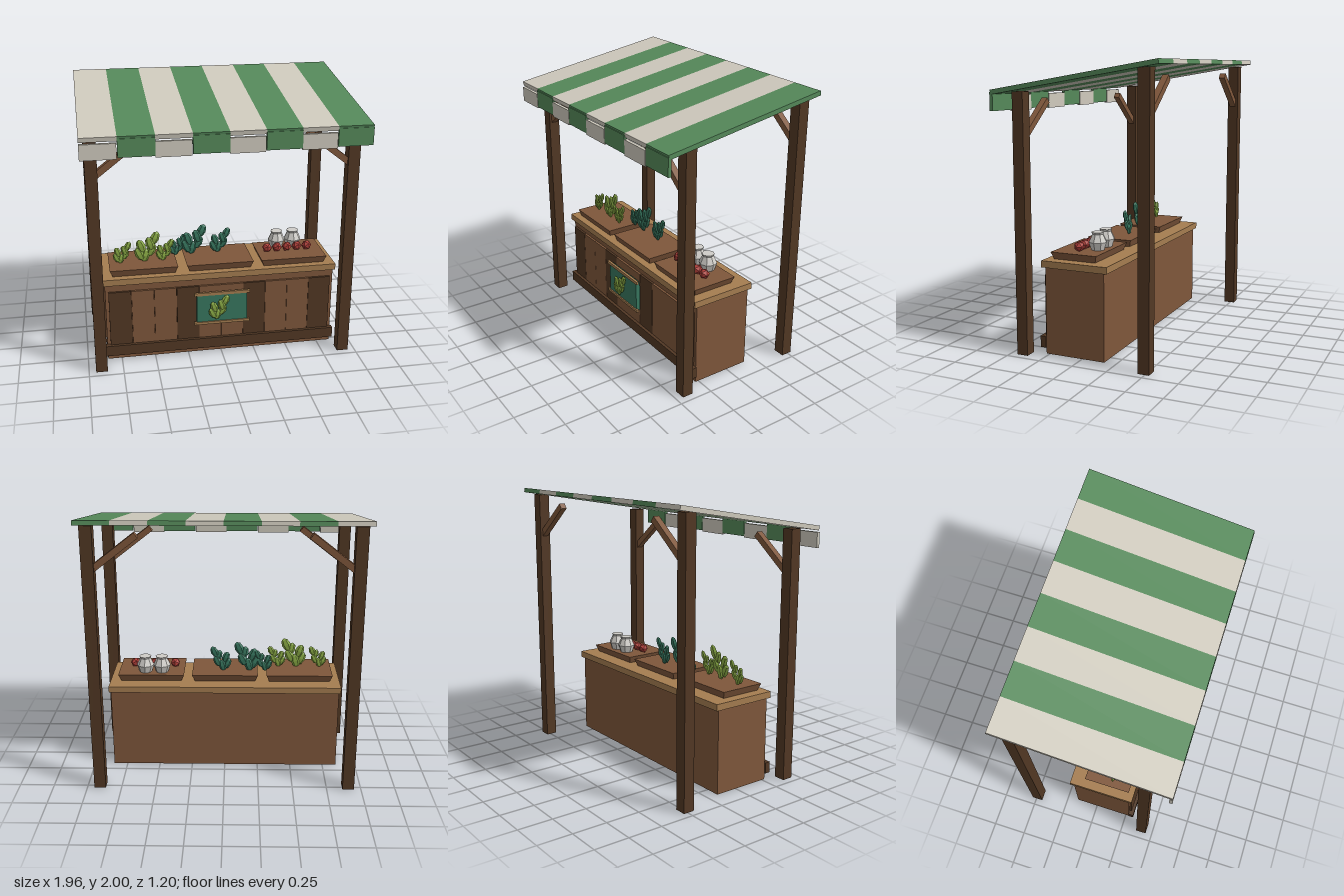
import * as THREE from 'three';

const material = (name, color) => {
  const m = new THREE.MeshStandardMaterial({ color, flatShading: true });
  m.name = name;
  return m;
};

export function createModel() {
  const green = material('canopy green', 0x55895a);
  const cream = material('canopy cream', 0xcfcabd);
  const brown = material('brown wood', 0x7f573b);
  const dark = material('dark wood', 0x523824);
  const tan = material('tan wood', 0xa57d50);
  const red = material('tomato red', 0xb2403a);
  const glaze = material('jar white', 0xcfcdc8);
  const leaf = material('leaf green', 0x8aab45);
  const teal = material('teal', 0x38775f);

  const model = new THREE.Group();
  model.name = 'marketStall';

  const add = (name, geometry, mat, x = 0, y = 0, z = 0, parent = model) => {
    const mesh = new THREE.Mesh(geometry, mat);
    mesh.name = name;
    mesh.position.set(x, y, z);
    parent.add(mesh);
    return mesh;
  };
  // Box given by its limits on each axis
  const box = (name, mat, x0, x1, y0, y1, z0, z1, parent) =>
    add(name, new THREE.BoxGeometry(x1 - x0, y1 - y0, z1 - z0), mat,
      (x0 + x1) / 2, (y0 + y1) / 2, (z0 + z1) / 2, parent);

  // Sloping striped canopy with a hanging valance
  const canopy = new THREE.Group();
  canopy.name = 'canopy';
  model.add(canopy);
  const stripe = 0.245, slope = Math.atan2(0.2, 1.2);
  for (let i = 0; i < 8; i++) {
    const x = -0.98 + stripe * i, isGreen = i % 2 === 1;
    const mat = isGreen ? green : cream;
    const slab = add('canopyStripe', new THREE.BoxGeometry(stripe, 0.032, 1.212), mat,
      x + stripe / 2, 1.884, 0, canopy);
    slab.rotation.x = slope;
    if (isGreen) box('valanceFlap', mat, x, x + stripe, 1.66, 1.785, 0.58, 0.603, canopy);
    else box('valanceFlap', mat, x, x + 0.24, 1.65, 1.757, 0.58, 0.603, canopy);
  }

  // Posts with diagonal braces under the canopy
  for (const side of [-1, 1]) {
    for (const [z, top] of [[0.41, 1.79], [-0.49, 1.95]]) {
      const x = side * 0.907;
      box('post', dark, x - 0.042, x + 0.042, 0, top, z - 0.04, z + 0.04);
      const brace = add('brace', new THREE.BoxGeometry(0.38, 0.045, 0.045), brown,
        side * 0.73, top - 0.185, z);
      brace.rotation.z = -side * 0.66;
    }
  }

  // Counter
  box('counterBody', brown, -0.853, 0.853, 0, 0.61, -0.165, 0.275);
  box('counterTop', tan, -0.865, 0.865, 0.608, 0.655, -0.19, 0.3);
  box('baseBoard', dark, -0.863, 0.863, 0.045, 0.125, 0.275, 0.315);
  for (let i = 0; i < 10; i++) {
    const x = -0.83 + i * 0.166;
    const mat = [0, 3, 6, 9].includes(i) ? dark : brown;
    box('frontPlank', mat, x + 0.001, x + 0.165, 0.125, 0.55, 0.275, 0.292);
  }

  // Leafy plant made of flattened faceted pads: x, y, lean
  const padGeometry = new THREE.SphereGeometry(1, 6, 4);
  const pads = [
    [0, 0.042, -0.25], [-0.025, 0.105, 0.35], [0.038, 0.075, -0.45],
    [0.03, 0.118, 0.3], [0.06, 0.15, -0.4], [-0.035, 0.055, 0.45],
  ];
  const plant = (name, mat, x, y, z, size) => {
    const group = new THREE.Group();
    group.name = name;
    group.position.set(x, y, z);
    group.scale.setScalar(size);
    pads.forEach(([px, py, lean], i) => {
      const pad = add('pad', padGeometry, mat, px, py, (i % 2) * 0.006 - 0.003, group);
      pad.scale.set(0.028, 0.045, 0.014);
      pad.rotation.z = lean;
    });
    model.add(group);
  };

  // Hanging sign with rails and a leaf emblem
  box('signPanel', teal, -0.19, 0.185, 0.265, 0.5, 0.305, 0.337);
  box('signRailTop', tan, -0.21, 0.205, 0.495, 0.518, 0.328, 0.346);
  box('signRailBottom', tan, -0.21, 0.205, 0.26, 0.28, 0.328, 0.346);
  plant('signPlant', leaf, -0.04, 0.298, 0.35, 1);

  // Flared produce trays
  for (const x of [-0.562, 0, 0.557]) {
    const tray = new THREE.BoxGeometry(0.496, 0.052, 0.345);
    const p = tray.attributes.position;
    for (let i = 0; i < p.count; i++) {
      if (p.getY(i) < 0) p.setXYZ(i, p.getX(i) * 0.915, p.getY(i), p.getZ(i) * 0.9);
    }
    tray.computeVertexNormals();
    add('tray', tray, brown, x, 0.68, 0.088);
  }

  // Potted greens in the first two trays
  for (const [x, size] of [[-0.72, 0.88], [-0.54, 1.22], [-0.405, 0.88]]) {
    plant('lightPlant', leaf, x, 0.7, 0.118, size);
  }
  for (const [x, size] of [[-0.3, 0.88], [-0.18, 1.22], [0.02, 1.02]]) {
    plant('tealPlant', teal, x, 0.7, 0.035, size);
  }

  // Jars and tomatoes in the third tray
  const jar = new THREE.LatheGeometry([
    [0, 0], [0.047, 0], [0.066, 0.058], [0.04, 0.112], [0.046, 0.127], [0, 0.127],
  ].map(([r, y]) => new THREE.Vector2(r, y)), 8);
  for (const x of [0.48, 0.605]) add('jar', jar, glaze, x, 0.703, 0);
  const tomato = new THREE.IcosahedronGeometry(0.038, 0);
  for (let i = 0; i < 5; i++) {
    add('tomato', tomato, red, 0.385 + i * 0.077, 0.737, 0.098).rotation.y = i * 0.1;
  }

  return model;
}
